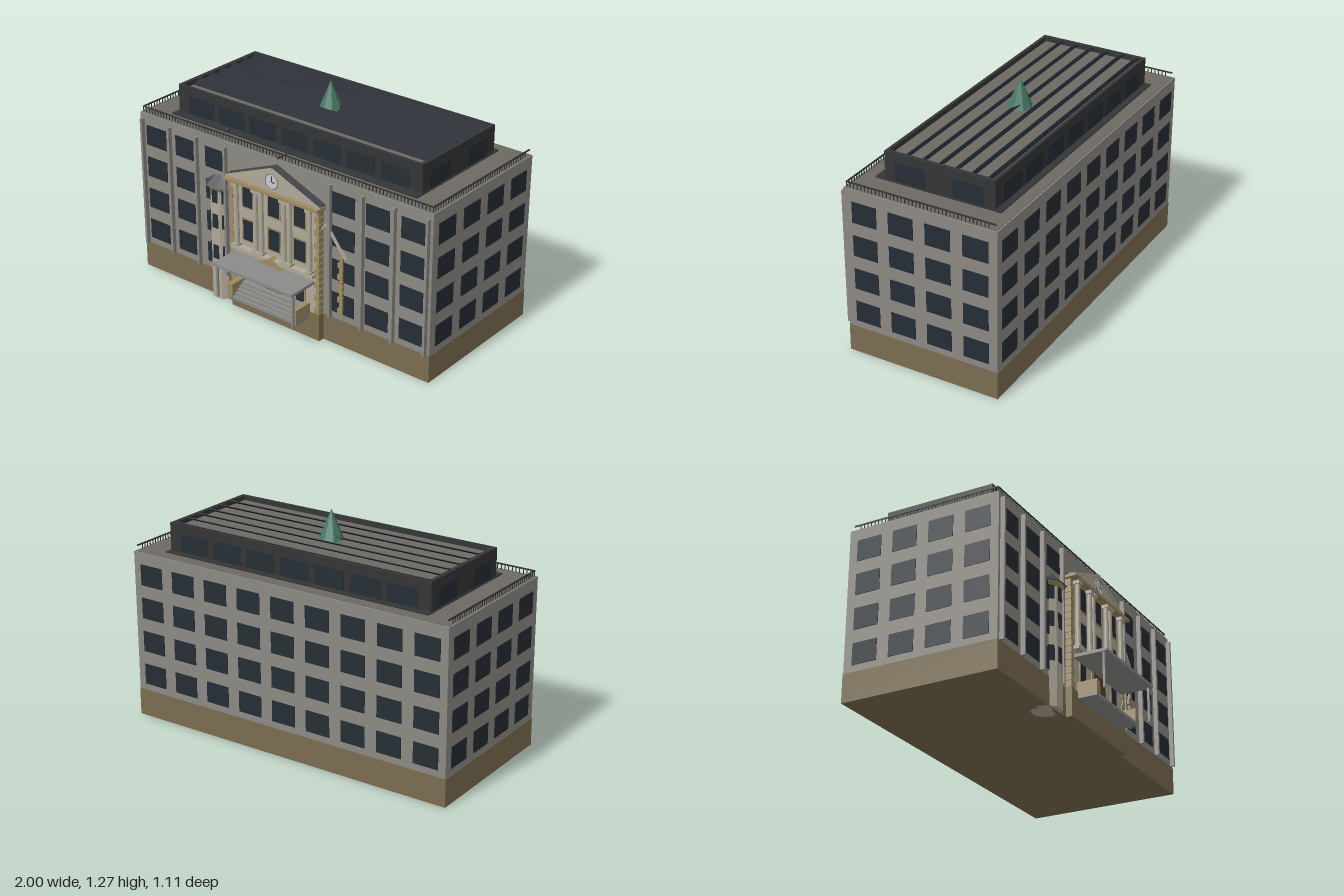
import * as THREE from 'three';

const mat = (color) => new THREE.MeshStandardMaterial({ color, flatShading: true });
const M = {
  wall: mat(0x8c8983), base: mat(0x7a6c50), glass: mat(0x252d35), dark: mat(0x343536),
  roof: mat(0x6c6963), stone: mat(0xb0a999), tan: mat(0x9c8a62), green: mat(0x467866),
  door: mat(0x57402c), panel: mat(0x1a1f29), slate: mat(0x45464b), metal: mat(0x8a8a88), white: mat(0xd4d4d0),
};

export function createModel() {
  const root = new THREE.Group();
  let group = root;

  const section = (name) => {
    group = new THREE.Group();
    group.name = name;
    root.add(group);
  };
  const add = (name, geo, m, x = 0, y = 0, z = 0) => {
    const mesh = new THREE.Mesh(geo, m);
    mesh.name = name;
    mesh.position.set(x, y, z);
    group.add(mesh);
    return mesh;
  };
  // box given by its extents
  const box = (name, m, x0, x1, y0, y1, z0, z1) =>
    add(name, new THREE.BoxGeometry(x1 - x0, y1 - y0, z1 - z0), m, (x0 + x1) / 2, (y0 + y1) / 2, (z0 + z1) / 2);
  // triangular prism facing the front
  const gable = (name, m, half, y0, y1, z0, z1) => {
    const s = new THREE.Shape([[-half, y0], [half, y0], [0, y1]].map((p) => new THREE.Vector2(...p)));
    return add(name, new THREE.ExtrudeGeometry(s, { depth: z1 - z0, bevelEnabled: false }), m, 0, 0, z0);
  };
  // sloping bar between two points of the front plane
  const bar = (name, m, xa, ya, xb, yb, t, z0, z1) => {
    const len = Math.hypot(xb - xa, yb - ya);
    const b = add(name, new THREE.BoxGeometry(len, t, z1 - z0), m, (xa + xb) / 2, (ya + yb) / 2, (z0 + z1) / 2);
    b.rotation.z = Math.atan2(yb - ya, xb - xa);
    return b;
  };

  // main block
  section('mainBlock');
  box('base', M.base, -1, 1, 0, 0.157, -0.555, 0.335);
  box('walls', M.wall, -0.998, 0.998, 0.157, 0.965, -0.553, 0.333);
  box('terrace', M.roof, -0.99, 0.99, 0.96, 0.968, -0.545, 0.325);

  // window grid on all four sides
  section('windows');
  for (const y of [0.255, 0.45, 0.645, 0.838]) {
    for (let i = -4; i <= 4; i++) {
      const x = i * 0.22;
      box('backWindow', M.glass, x - 0.074, x + 0.074, y - 0.06, y + 0.06, -0.556, -0.54);
      if (Math.abs(i) > 1) box('frontWindow', M.glass, x - 0.074, x + 0.074, y - 0.06, y + 0.06, 0.32, 0.336);
    }
    for (const z of [0.213, -0.002, -0.216, -0.431])
      for (const s of [-1, 1])
        add('sideWindow', new THREE.BoxGeometry(0.016, 0.12, 0.145), M.glass, s * 0.993, y, z);
  }

  // slim front pilasters
  section('pilasters');
  for (const s of [-1, 1])
    for (const x of [0.36, 0.57, 0.77, 0.975])
      box('pilaster', M.wall, s * x - 0.007, s * x + 0.007, 0.157, 0.935, 0.333, 0.358);

  // terrace railing: front and both sides
  section('railing');
  box('frontRail', M.dark, -0.985, 0.985, 0.993, 1, 0.316, 0.322);
  for (let i = 0; i <= 90; i++) {
    const x = -0.985 + (i * 1.97) / 90;
    box('picket', M.dark, x - 0.002, x + 0.002, 0.965, 0.995, 0.317, 0.321);
  }
  for (const x of [-0.985, 0.985]) {
    box('sideRail', M.dark, x - 0.003, x + 0.003, 0.993, 1, -0.54, 0.322);
    for (let i = 0; i < 38; i++) {
      const z = 0.3 - i * 0.0216;
      box('picket', M.dark, x - 0.002, x + 0.002, 0.965, 0.995, z - 0.002, z + 0.002);
    }
  }

  // set-back top storey
  section('penthouse');
  box('plinth', M.dark, -0.835, 0.835, 0.965, 0.974, -0.48, 0.25);
  box('penthouseWalls', M.dark, -0.828, 0.828, 0.965, 1.098, -0.443, 0.195);
  box('penthouseRoof', M.roof, -0.805, 0.805, 1.09, 1.104, -0.425, 0.175);
  for (const s of [-1, 1]) box('sideParapet', M.dark, s * 0.816 - 0.012, s * 0.816 + 0.012, 1.09, 1.13, -0.443, 0.195);
  box('backParapet', M.dark, -0.828, 0.828, 1.09, 1.13, -0.443, -0.425);
  box('frontParapet', M.dark, -0.828, 0.828, 1.09, 1.13, 0.177, 0.195);
  for (let i = -3; i <= 3; i++) {
    box('upperWindow', M.glass, i * 0.22 - 0.09, i * 0.22 + 0.09, 0.976, 1.08, 0.185, 0.197);
    box('upperWindow', M.glass, i * 0.22 - 0.09, i * 0.22 + 0.09, 0.976, 1.08, -0.445, -0.43);
  }
  for (const s of [-1, 1])
    for (const z of [0.047, -0.29])
      add('upperSideWindow', new THREE.BoxGeometry(0.012, 0.105, 0.175), M.glass, s * 0.824, 1.028, z);
  for (let i = 0; i < 6; i++) {
    const p = add('roofPanel', new THREE.BoxGeometry(1.6, 0.004, 0.058), M.panel, 0, 1.119, 0.077 - i * 0.0945);
    p.rotation.x = 0.5;
  }
  add('spire', new THREE.ConeGeometry(0.07, 0.17, 8), M.green, 0, 1.185, -0.11);
  add('vent', new THREE.SphereGeometry(0.012, 8, 6), M.dark, -0.42, 0.99, 0.255);
  box('pole', M.dark, -0.003, 0.003, 0.968, 0.974, 0.26, 0.335);

  // projecting classical front
  section('portico');
  box('porticoBase', M.base, -0.31, 0.31, 0, 0.157, 0.33, 0.37);
  box('porticoWall', M.stone, -0.305, 0.305, 0.157, 0.785, 0.33, 0.365);
  for (const s of [-1, 1]) {
    for (let i = 0; i < 16; i++) {
      const w = i % 2 ? 0.022 : 0.035;
      const x = s * (0.31 - w / 2);
      box('quoin', M.tan, x - w / 2, x + w / 2, 0.162 + i * 0.0385, 0.196 + i * 0.0385, 0.33, 0.37);
    }
    for (const x of [0.253, 0.118, 0.078]) {
      add('column', new THREE.CylinderGeometry(0.014, 0.016, 0.37, 12), M.stone, s * x, 0.59, 0.381);
      box('capital', M.stone, s * x - 0.019, s * x + 0.019, 0.76, 0.78, 0.362, 0.4);
      box('columnFoot', M.stone, s * x - 0.019, s * x + 0.019, 0.398, 0.413, 0.362, 0.4);
    }
  }
  const framed = (x, y, w, h) => {
    box('windowFrame', M.tan, x - w / 2 - 0.009, x + w / 2 + 0.009, y - h / 2 - 0.01, y + h / 2 + 0.01, 0.36, 0.369);
    box('porticoWindow', M.glass, x - w / 2, x + w / 2, y - h / 2, y + h / 2, 0.36, 0.371);
  };
  for (const x of [-0.178, 0, 0.178]) {
    framed(x, 0.705, 0.075, 0.125);
    framed(x, 0.503, 0.075, 0.12);
    if (x) framed(x, 0.265, 0.055, 0.13);
  }
  box('ledge', M.stone, -0.285, 0.285, 0.38, 0.4, 0.36, 0.4);
  box('cornice', M.tan, -0.325, 0.325, 0.78, 0.797, 0.33, 0.405);
  gable('pediment', M.stone, 0.3, 0.797, 0.92, 0.3, 0.378);
  for (const s of [-1, 1]) {
    bar('rakingCornice', M.stone, s * 0.322, 0.797, 0, 0.927, 0.016, 0.36, 0.385);
    bar('pedimentRoof', M.slate, s * 0.322, 0.802, 0, 0.933, 0.008, 0.3, 0.381);
  }
  const clock = add('clockFace', new THREE.CylinderGeometry(0.042, 0.042, 0.01, 24), M.white, 0, 0.857, 0.379);
  clock.rotation.x = Math.PI / 2;
  add('clockRim', new THREE.TorusGeometry(0.042, 0.004, 6, 24), M.metal, 0, 0.857, 0.383);
  bar('minuteHand', M.dark, 0, 0.857, 0.004, 0.889, 0.004, 0.383, 0.387);
  bar('hourHand', M.dark, 0, 0.857, 0.022, 0.853, 0.004, 0.383, 0.387);

  // entrance, steps and canopy
  section('entrance');
  box('doorFrame', M.tan, -0.08, 0.08, 0.19, 0.345, 0.36, 0.37);
  for (const s of [-1, 1]) {
    box('door', M.door, s * 0.034 - 0.032, s * 0.034 + 0.032, 0.195, 0.33, 0.36, 0.374);
    box('stepWall', M.tan, s * 0.225 - 0.018, s * 0.225 + 0.018, 0.14, 0.21, 0.365, 0.48);
    box('stepWallFoot', M.metal, s * 0.225 - 0.018, s * 0.225 + 0.018, 0.12, 0.14, 0.365, 0.48);
    box('canopyPost', M.metal, s * 0.265 - 0.006, s * 0.265 + 0.006, 0.14, 0.335, 0.527, 0.539);
  }
  gable('doorPediment', M.tan, 0.09, 0.36, 0.41, 0.36, 0.403);
  for (let i = 0; i < 5; i++)
    box('step', M.metal, -0.207, 0.207, 0.12, 0.137 + i * 0.0145, 0.365, 0.478 - i * 0.019);
  box('canopy', M.metal, -0.28, 0.275, 0.335, 0.352, 0.36, 0.555);

  // eight-sided stair tower
  section('tower');
  const prism = (name, m, r0, r1, y0, y1) => {
    const p = add(name, new THREE.CylinderGeometry(r1, r0, y1 - y0, 8), m, -0.425, (y0 + y1) / 2, 0.287);
    p.rotation.y = Math.PI / 8;
    return p;
  };
  prism('towerShaft', M.stone, 0.083, 0.083, 0, 0.67);
  prism('towerCollar', M.tan, 0.083, 0.1, 0.665, 0.695);
  prism('towerRoof', M.slate, 0.107, 0.002, 0.693, 0.8);
  for (const y of [0.29, 0.48, 0.635])
    for (const a of [-1, 0, 1]) {
      const t = (a * Math.PI) / 4;
      const w = add('towerWindow', new THREE.BoxGeometry(0.04, 0.085, 0.006), M.glass,
        -0.425 + Math.sin(t) * 0.0765, y, 0.287 + Math.cos(t) * 0.0765);
      w.rotation.y = t;
    }

  // half gable beside the portico
  section('sideGable');
  bar('gableTrimLeft', M.stone, 0.3, 0.655, 0.335, 0.7, 0.01, 0.333, 0.35);
  bar('gableTrimRight', M.stone, 0.335, 0.7, 0.465, 0.535, 0.01, 0.333, 0.35);
  for (let i = 0; i < 10; i++)
    box('gableQuoin', M.tan, i % 2 ? 0.425 : 0.412, 0.445, 0.2 + i * 0.034, 0.23 + i * 0.034, 0.333, 0.347);

  return root;
}
